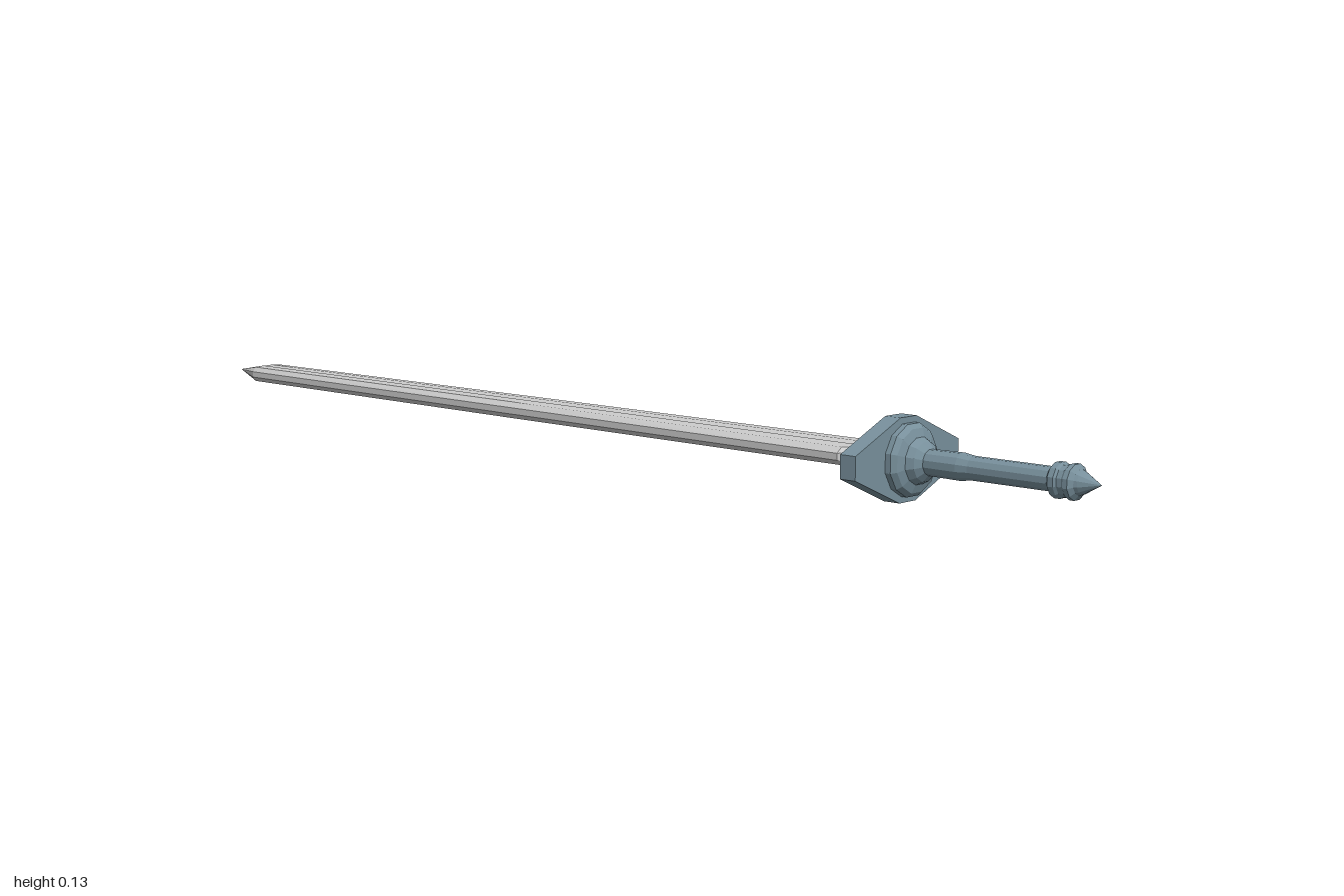
import * as THREE from 'three';

const AXIS_Y = 0.067;
const SIDES = 12;

// Turned part along z from [radius, z] pairs, ordered from blade to pommel
function turned(name, profile, material) {
  const points = profile.map(([r, z]) => new THREE.Vector2(r, z));
  const geometry = new THREE.LatheGeometry(points, SIDES, Math.PI / SIDES);
  geometry.rotateX(Math.PI / 2);
  const mesh = new THREE.Mesh(geometry, material);
  mesh.name = name;
  return mesh;
}

// Cross-section of the blade: blunt edges, bevels and a shallow central fuller
function bladeSection(w, t, z) {
  const top = [[1, 0.35], [0.8, 0.9], [0.28, 1], [0, 0.55], [-0.28, 1], [-0.8, 0.9], [-1, 0.35]];
  const bottom = top.map(([x, y]) => [-x, -y]);
  return [...top, ...bottom].map(([x, y]) => [x * w, y * t, z]);
}

function bladeGeometry() {
  // [half width, half thickness, z] from guard to point
  const rings = [
    [0.03, 0.016, 0.57], [0.057, 0.016, 0.55], [0.047, 0.016, -0.2],
    [0.037, 0.015, -0.92], [0.0005, 0.0005, -1],
  ].map((r) => bladeSection(...r));
  const n = rings[0].length;
  const index = [];
  for (let i = 0; i < rings.length - 1; i++) {
    for (let j = 0; j < n; j++) {
      const a = i * n + j, b = i * n + (j + 1) % n;
      index.push(a, b, a + n, b, b + n, a + n);
    }
  }
  // Cap at the guard end
  for (let j = 1; j < n - 1; j++) index.push(0, j + 1, j);
  const geometry = new THREE.BufferGeometry();
  geometry.setAttribute('position', new THREE.Float32BufferAttribute(rings.flat(2), 3));
  geometry.setIndex(index);
  geometry.computeVertexNormals();
  return geometry;
}

export function createModel() {
  const steel = new THREE.MeshStandardMaterial({
    color: 0xcccccc, flatShading: true, side: THREE.DoubleSide,
  });
  const hilt = new THREE.MeshStandardMaterial({
    color: 0x78909c, flatShading: true, side: THREE.DoubleSide,
  });
  const sword = new THREE.Group();
  sword.name = 'sword';

  const blade = new THREE.Mesh(bladeGeometry(), steel);
  blade.name = 'blade';

  // Crossguard: flat eight-sided plate
  const outline = [
    [0.13, -0.019], [0.13, 0.019], [0.02, 0.067], [-0.02, 0.067],
    [-0.13, 0.019], [-0.13, -0.019], [-0.02, -0.067], [0.02, -0.067],
  ].map(([x, y]) => new THREE.Vector2(x, y));
  const plate = new THREE.ExtrudeGeometry(new THREE.Shape(outline), { depth: 0.03, bevelEnabled: false });
  plate.translate(0, 0, 0.615);
  const guard = new THREE.Mesh(plate, hilt);
  guard.name = 'crossguard';

  // Collars on both sides of the crossguard
  const bladeCollar = turned('bladeCollar',
    [[0, 0.575], [0.028, 0.575], [0.04, 0.588], [0.062, 0.607], [0.066, 0.616]], hilt);
  const gripCollar = turned('gripCollar',
    [[0.059, 0.644], [0.059, 0.655], [0.052, 0.663], [0.038, 0.668], [0.032, 0.68], [0.02, 0.69]], hilt);

  const grip = turned('grip',
    [[0.021, 0.68], [0.022, 0.75], [0.019, 0.77], [0.019, 0.92]], hilt);
  const pommel = turned('pommel',
    [[0.019, 0.915], [0.028, 0.922], [0.028, 0.932], [0.025, 0.936], [0.025, 0.945],
      [0.028, 0.949], [0.028, 0.957], [0.02, 0.963], [0.018, 0.968], [0, 1]], hilt);

  sword.add(blade, guard, bladeCollar, gripCollar, grip, pommel);
  sword.position.y = AXIS_Y;
  const model = new THREE.Group();
  model.add(sword);
  return model;
}
